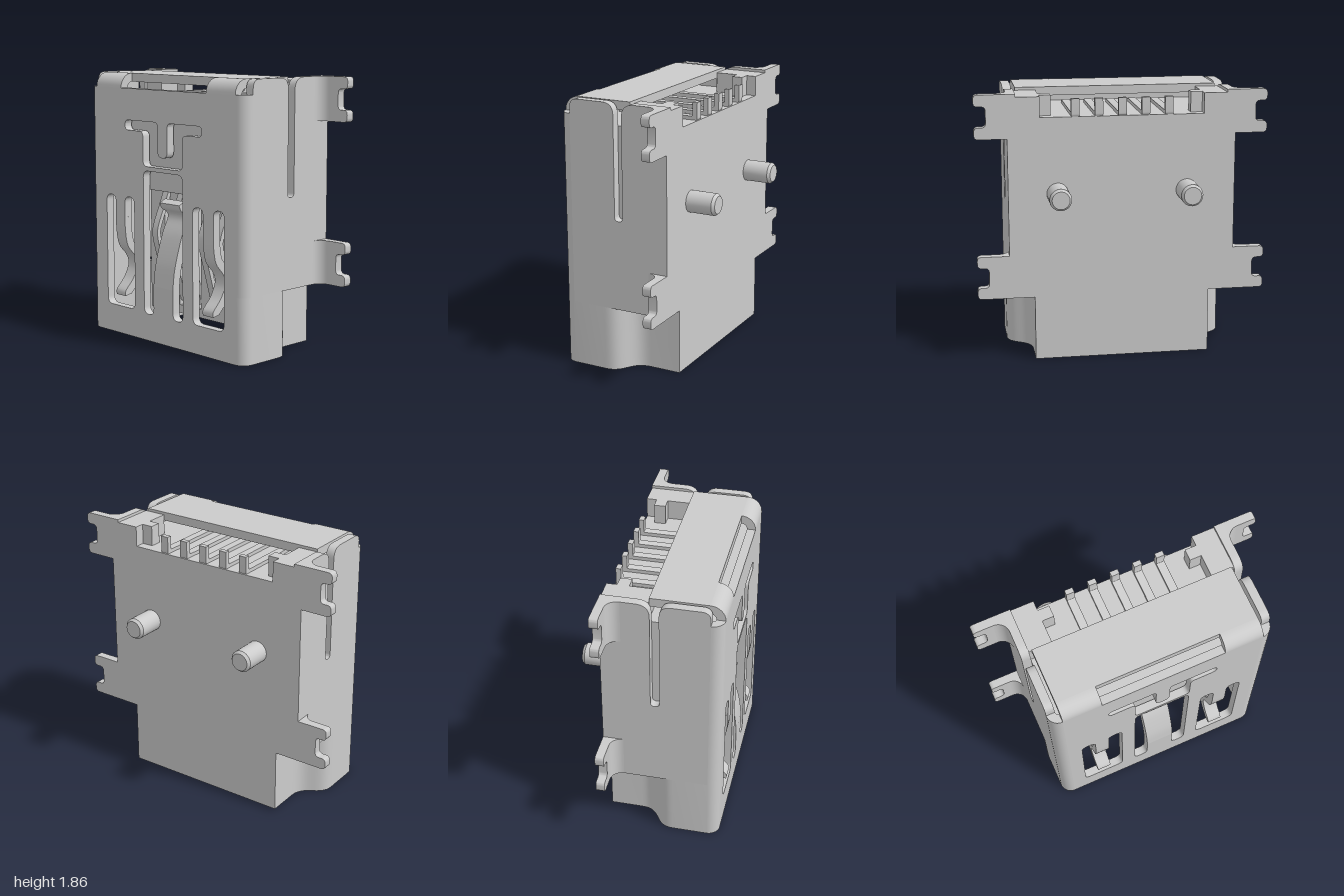
import * as THREE from 'three';
import { toCreasedNormals } from 'three/addons/utils/BufferGeometryUtils.js';

const T = 0.06; // sheet thickness
const V = (x, y) => new THREE.Vector2(x, y);

// Closed outline with corners [x, y, radius]
function outline(pts, target = new THREE.Shape()) {
  const n = pts.length;
  pts.forEach(([x, y, r = 0], i) => {
    const p = V(x, y);
    const toward = ([a, b]) => V(a, b).sub(p).setLength(r).add(p);
    const a = r ? toward(pts[(i + n - 1) % n]) : p;
    if (i === 0) target.moveTo(a.x, a.y); else target.lineTo(a.x, a.y);
    if (r) {
      const b = toward(pts[(i + 1) % n]);
      target.quadraticCurveTo(x, y, b.x, b.y);
    }
  });
  target.closePath();
  return target;
}

// Strip of thickness t on the left side of a polyline
function band(pts, t) {
  const normal = (a, b) => V(a.y - b.y, b.x - a.x).normalize();
  const inner = pts.map((p, i) => {
    const n1 = normal(pts[Math.max(i - 1, 0)], pts[Math.max(i, 1)]);
    const last = pts.length - 1;
    const n2 = normal(pts[Math.min(i, last - 1)], pts[Math.min(i + 1, last)]);
    const k = t / (1 + n1.dot(n2));
    return p.clone().add(n1.add(n2).multiplyScalar(k));
  });
  return new THREE.Shape([...pts, ...inner.reverse()]);
}

const arc = (cx, cy, r, a0, a1, n = 10) => Array.from({ length: n + 1 }, (_, i) => {
  const a = a0 + (a1 - a0) * i / n;
  return V(cx + r * Math.cos(a), cy + r * Math.sin(a));
});

const extrude = (shape, depth) =>
  new THREE.ExtrudeGeometry(shape, { depth, bevelEnabled: false, curveSegments: 8 });
// Shape in (x, y), from z0 to z1
const alongZ = (s, z0, z1) => extrude(s, z1 - z0).translate(0, 0, z0);
// Shape in (x, -z), from y0 to y1
const alongY = (s, y0, y1) => extrude(s, y1 - y0).rotateX(-Math.PI / 2).translate(0, y0, 0);
// Shape in (z, y), from x0 to x1
const alongX = (s, x0, x1) => extrude(s, x1 - x0).rotateY(-Math.PI / 2).translate(x1, 0, 0);
const box = (x0, x1, y0, y1, z0, z1) => new THREE.BoxGeometry(x1 - x0, y1 - y0, z1 - z0)
  .translate((x0 + x1) / 2, (y0 + y1) / 2, (z0 + z1) / 2);

// Mirrored copy across x = 0 with the winding restored
function mirrored(geo) {
  const g = (geo.index ? geo.toNonIndexed() : geo.clone()).scale(-1, 1, 1);
  const p = g.attributes.position;
  const a = new THREE.Vector3(), b = new THREE.Vector3();
  for (let i = 0; i < p.count; i += 3) {
    a.fromBufferAttribute(p, i + 1);
    b.fromBufferAttribute(p, i + 2);
    p.setXYZ(i + 1, b.x, b.y, b.z);
    p.setXYZ(i + 2, a.x, a.y, a.z);
  }
  return g;
}

export function createModel() {
  const model = new THREE.Group();
  const mat = new THREE.MeshStandardMaterial({ color: 0xcccccc });
  const add = (name, geo) => {
    const mesh = new THREE.Mesh(toCreasedNormals(geo, 0.6), mat);
    mesh.name = name;
    model.add(mesh);
  };
  const addPair = (name, geo) => {
    add(name + 'Left', geo);
    add(name + 'Right', mirrored(geo));
  };

  // Front plate with its T cutout, centre window and two side windows
  const front = outline([[-0.7, 0], [0.7, 0], [0.7, 1.76], [-0.7, 1.76]]);
  const hole = pts => front.holes.push(outline(pts, new THREE.Path()));
  const tHalf = [[0.2, 1.23, 0.04], [0.2, 1.47, 0.04], [0.39, 1.47, 0.034], [0.39, 1.54, 0.034],
    [0.05, 1.54, 0.034], [0.05, 1.3, 0.049]];
  const mirrorPts = pts => [...pts].reverse().map(([x, y, r]) => [-x, y, r]);
  hole([...tHalf, ...mirrorPts(tHalf)]);
  const windowHalf = [[0.1, 0.4], [0.1, 0.19, 0.049], [0.2, 0.19, 0.049], [0.2, 1.2, 0.05]];
  hole([...windowHalf, ...mirrorPts(windowHalf)]);
  const sideWindow = [[0.3, 0.2, 0.05], [0.6, 0.2, 0.05], [0.6, 1, 0.049], [0.5, 1, 0.049],
    [0.5, 0.85], [0.4, 0.85], [0.4, 1, 0.049], [0.3, 1, 0.049]];
  hole(sideWindow);
  hole(mirrorPts(sideWindow));
  add('frontPlate', alongZ(front, 0.5 - T, 0.5));

  // Spring tongues bent into the windows
  const spring = (pts, t) => band(new THREE.SplineCurve(pts.map(p => V(...p))).getPoints(32), t);
  addPair('sideSpring', alongX(spring([[0.5, 0.85], [0.498, 0.75], [0.475, 0.64], [0.41, 0.56],
    [0.39, 0.49], [0.43, 0.4], [0.5, 0.32], [0.5, 0.28]], -T), 0.4, 0.5));
  add('centreSpring', alongX(spring([[0.5, 0.4], [0.48, 0.55], [0.42, 0.75], [0.365, 0.87],
    [0.375, 0.91], [0.42, 0.94], [0.44, 0.98]], T), -0.1, 0.1));

  // Lower sleeve: open ring that steps inward toward the back
  const corner = arc(0.7, -0.42, 0.08, -Math.PI / 2, 0);
  const sCurve = new THREE.CubicBezierCurve(V(0.78, -0.18), V(0.78, -0.03), V(0.61, -0.08), V(0.61, 0.08));
  const half = [...corner, ...sCurve.getPoints(16), V(0.61, 0.3)];
  const ring = [...half, ...[...half].reverse().map(p => V(-p.x, p.y))];
  add('lowerSleeve', alongY(band(ring, T), 0, 0.45));

  // Upper shell: rounded front corners, slit side walls, back plate
  addPair('frontCorner', alongY(band(corner, T), 0.45, 1.76));
  addPair('sideWall', alongX(outline([[-0.3, 0.45], [0.42, 0.45], [0.42, 1.86, 0.06],
    [0.09, 1.86, 0.08], [0.09, 1.07, 0.029], [0.03, 1.07, 0.029], [0.03, 1.86, 0.09], [-0.3, 1.86]]),
  0.72, 0.78));
  const backHalf = [[0.72, 0.45], [0.72, 1.84], [0.56, 1.84], [0.56, 1.7]];
  add('backPlate', alongZ(outline([...backHalf, ...mirrorPts(backHalf)]), -0.3, -0.24));

  // Top cap with two bends down to the front plate
  add('topCap', box(-0.7, 0.7, 1.8, 1.86, 0.01, 0.4));
  addPair('capBend', alongX(band(arc(0.4, 1.76, 0.1, 0, Math.PI / 2), T), 0.43, 0.7));

  // Four notched mounting tabs, each with a filleted root
  const root = new THREE.Shape([V(0.77, 0.3), V(0.86, 0.3),
    ...arc(0.86, 0.16, 0.08, Math.PI / 2, Math.PI), V(0.77, 0.16)]);
  for (const y of [0.45, 1.56]) {
    const name = y < 1 ? 'lowerTab' : 'upperTab';
    addPair(name + 'Root', alongY(root, y, y + 0.3));
    addPair(name, alongZ(outline([[0.86, y], [1, y, 0.03], [1, y + 0.08, 0.03], [0.92, y + 0.08, 0.03],
      [0.92, y + 0.22, 0.03], [1, y + 0.22, 0.03], [1, y + 0.3, 0.03], [0.86, y + 0.3]]), -0.3, -0.24));
  }

  // Insulator body, its raised rear shoulders with nubs, and the tongue
  add('insulatorBody', box(-0.72, 0.72, 1.06, 1.7, -0.24, 0.43));
  addPair('insulatorShoulder', alongY(outline([[0.72, 0.24], [0.56, 0.24], [0.56, 0.23], [0.48, 0.23],
    [0.48, 0.15], [0.56, 0.15], [0.56, -0.01], [0.72, -0.01]]), 1.7, 1.84));
  add('tongueBack', box(-0.5, 0.5, 0.14, 1.06, 0, 0.09));
  add('tongueFace', box(-0.5, 0.5, 0.14, 0.2, 0.145, 0.17));
  for (let i = 0; i < 6; i++) {
    const x0 = i === 0 ? -0.5 : -0.45 + i * 0.16;
    const x1 = i === 5 ? 0.5 : -0.35 + i * 0.16;
    add('tongueRib', box(x0, x1, 0.14, 1.06, 0.08, 0.17));
  }

  // Five contacts: bowed spring inside, bent tail at the top rear
  for (let i = -2; i <= 2; i++) {
    const x = i * 0.16;
    add('contactSpring', alongX(spring([[0.13, 1.08], [0.19, 0.92], [0.25, 0.78], [0.26, 0.7],
      [0.22, 0.55], [0.13, 0.24]], 0.03), x - 0.028, x + 0.028));
    add('contactTail', alongX(outline([[0.3, 1.69], [0.3, 1.725], [-0.26, 1.725, 0.01], [-0.26, 1.82],
      [-0.295, 1.82], [-0.295, 1.69, 0.03]]), x - 0.028, x + 0.028));
  }

  // Chamfered locating pegs on the back
  const peg = new THREE.LatheGeometry([V(0, 0.505), V(0.06, 0.505), V(0.075, 0.485), V(0.075, 0.28)].reverse(), 32)
    .rotateX(-Math.PI / 2).translate(0.445, 1.175, 0);
  addPair('locatingPeg', peg);

  return model;
}
